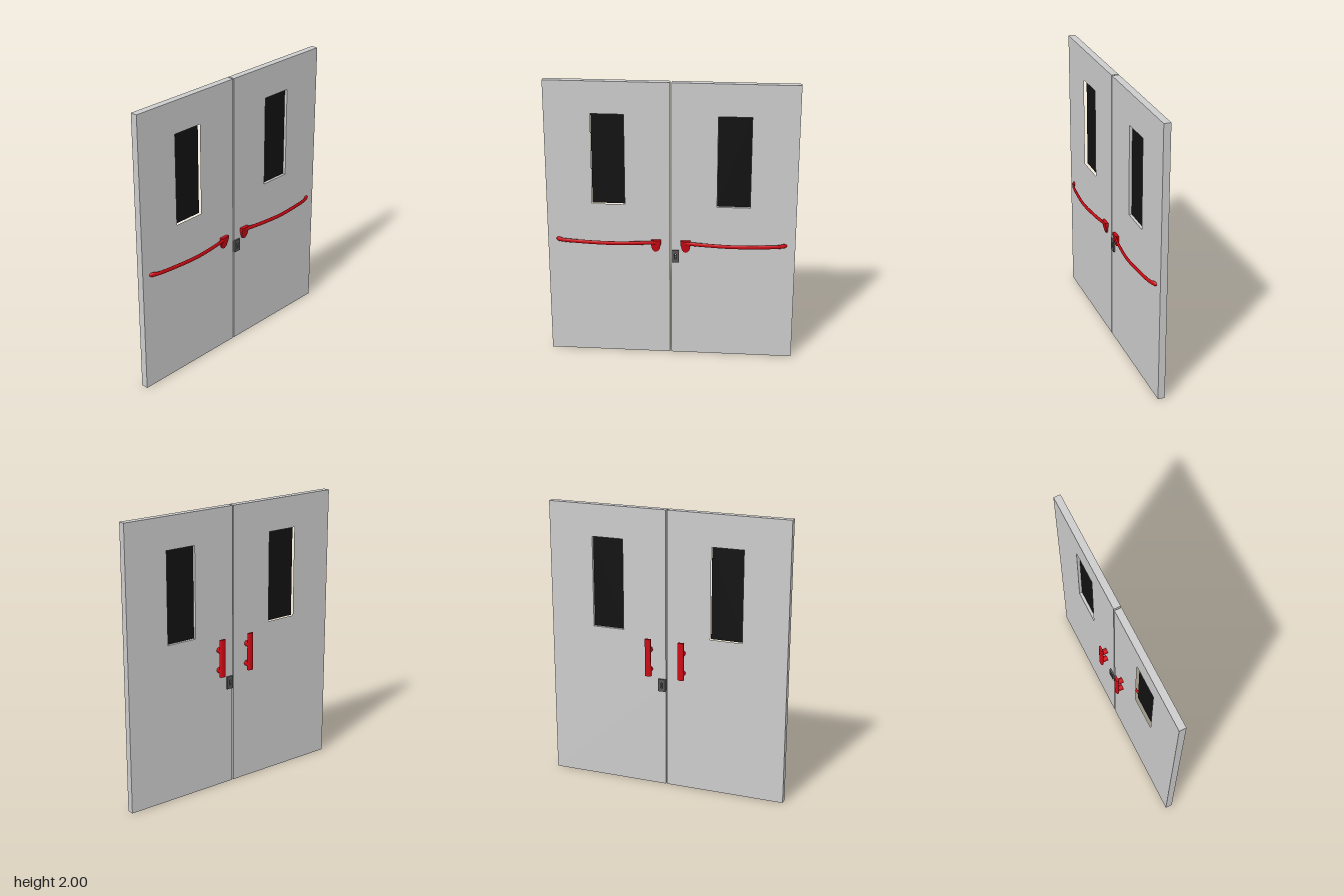
import * as THREE from 'three';

const mat = (color) => new THREE.MeshStandardMaterial({ color });
const grey = mat(0xcccccc), red = mat(0xcc0a14), dark = mat(0x555555), black = mat(0x111111);
const X0 = -0.028, X1 = 0.021; // door faces

function add(parent, name, geometry, material) {
  const mesh = new THREE.Mesh(geometry, material);
  mesh.name = name;
  parent.add(mesh);
  return mesh;
}

// Polygon in (u, y), where u = -z
const poly = (pts) => new THREE.Shape(pts.map(([u, y]) => new THREE.Vector2(u, y)));

// Extrude a (u, y) shape through the door thickness, from x0 to x1
function slab(shape, x0, x1) {
  return new THREE.ExtrudeGeometry(shape, { depth: x1 - x0, bevelEnabled: false, curveSegments: 10 })
    .rotateY(Math.PI / 2).translate(x0, 0, 0);
}

// Door leaf with window opening; the right-hand leaf is notched for the lock
function makeLeaf(s) {
  const leaf = new THREE.Group();
  const notch = s > 0 ? [[0.058, 0.8], [0.058, 0.71]] : [];
  const edge = s > 0 ? [[0.005, 0.8], ...notch, [0.005, 0.71]] : [];
  const outline = poly([[0.005, 0], [0.863, 0], [0.863, 2], [0.005, 2], ...edge].map(([u, y]) => [s * u, y]));
  const window = [[0.318, 1.13], [0.545, 1.13], [0.545, 1.775], [0.318, 1.775]].map(([u, y]) => [s * u, y]);
  outline.holes.push(poly(window));
  add(leaf, 'doorPanel', slab(outline, X0, X1), grey);
  add(leaf, 'windowGlass', slab(poly(window), -0.008, 0.001), black);
  return leaf;
}

// Bowed push bar with its end foot and latch bracket
function makePushBar(s) {
  const bar = new THREE.Group();
  const path = new THREE.CatmullRomCurve3(
    [[0.034, 0.1], [0.045, 0.15], [0.06, 0.25], [0.074, 0.43], [0.06, 0.64], [0.046, 0.74], [0.034, 0.78]]
      .map(([x, u]) => new THREE.Vector3(x, 0, -s * u)));
  add(bar, 'bar', new THREE.TubeGeometry(path, 40, 0.008, 14).scale(1, 1.75, 1).translate(0, 0.859, 0), red);

  const foot = add(bar, 'barFoot', new THREE.SphereGeometry(1, 18, 12), red);
  foot.scale.set(0.011, 0.016, 0.032);
  foot.position.set(0.031, 0.859, -s * 0.777);
  foot.rotation.y = s * 0.45;

  // Shield-shaped bracket, thinner toward its rounded bottom
  const shield = new THREE.Shape();
  shield.moveTo(s * 0.069, 0.875);
  shield.lineTo(s * 0.137, 0.875);
  shield.lineTo(s * 0.136, 0.835);
  shield.bezierCurveTo(s * 0.132, 0.768, s * 0.077, 0.768, s * 0.073, 0.835);
  shield.lineTo(s * 0.069, 0.845);
  const bracket = slab(shield, 0, 1);
  const p = bracket.attributes.position;
  for (let i = 0; i < p.count; i++) {
    const t = THREE.MathUtils.clamp((p.getY(i) - 0.785) / 0.09, 0, 1);
    p.setX(i, 0.018 + p.getX(i) * (0.011 + 0.016 * t));
  }
  bracket.computeVertexNormals();
  add(bar, 'latchBracket', bracket, red);
  return bar;
}

// Upright pull handle: half-round grip on two posts
function makePull(s) {
  const pull = new THREE.Group();
  const d = new THREE.Shape();
  d.moveTo(-0.064, -0.022);
  d.lineTo(-0.064, 0.022);
  d.lineTo(-0.073, 0.022);
  d.bezierCurveTo(-0.085, 0.018, -0.085, -0.018, -0.073, -0.022);
  const grip = new THREE.ExtrudeGeometry(d, { depth: 0.27, bevelEnabled: false, curveSegments: 12 })
    .rotateX(-Math.PI / 2).translate(0, 0.826, -s * 0.121);
  add(pull, 'grip', grip, red);
  for (const y of [0.865, 1.01]) {
    const post = add(pull, 'post', new THREE.CylinderGeometry(0.02, 0.02, 0.045, 20).rotateZ(Math.PI / 2), red);
    post.position.set(-0.0475, y, -s * 0.121);
  }
  return pull;
}

// Lock case passing through the leaf, with an hourglass keyhole
function makeLock() {
  const box = poly([[0.006, 0.71], [0.058, 0.71], [0.058, 0.8], [0.006, 0.8]]);
  box.holes.push(poly([[0.023, 0.735], [0.041, 0.735], [0.035, 0.755], [0.041, 0.767], [0.036, 0.775],
    [0.028, 0.775], [0.023, 0.767], [0.029, 0.755]]));
  return slab(box, -0.04, 0.031);
}

export function createModel() {
  const model = new THREE.Group();
  model.name = 'doubleDoor';
  for (const s of [-1, 1]) {
    const side = s > 0 ? 'Rear' : 'Front';
    const parts = { doorLeaf: makeLeaf(s), pushBar: makePushBar(s), pullHandle: makePull(s) };
    for (const [name, part] of Object.entries(parts)) {
      part.name = name + side;
      model.add(part);
    }
  }
  add(model, 'lockCase', makeLock(), dark);
  return model;
}
